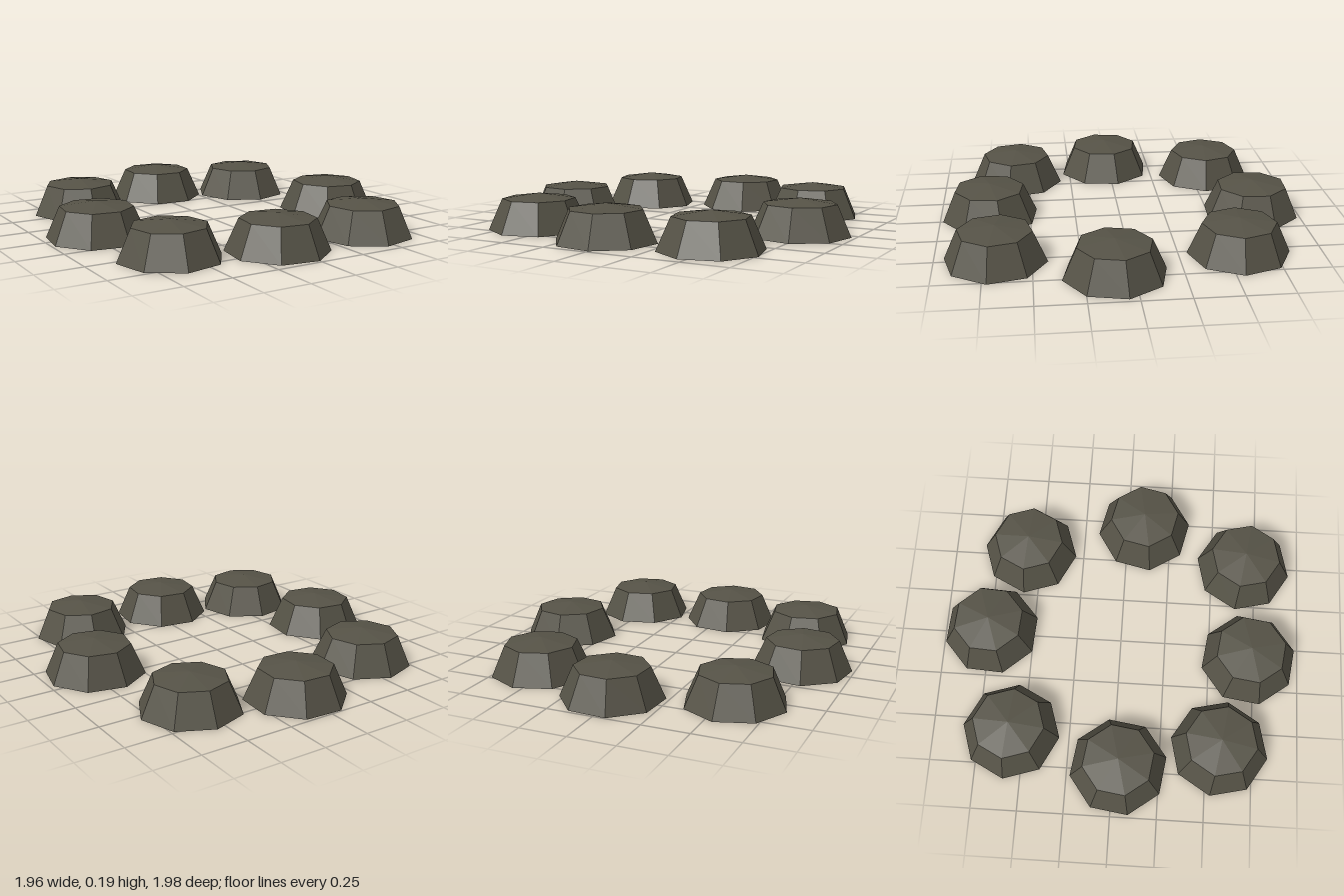
import * as THREE from 'three';

// x, z, turn in degrees of each stone, clockwise from the back
const STONES = [
  [0.024, -0.741, 26],
  [0.532, -0.563, 4],
  [0.714, 0.095, 35.3],
  [0.5, 0.684, 9],
  [-0.066, 0.724, 30.7],
  [-0.59, 0.574, 9.5],
  [-0.725, 0.029, 30.8],
  [-0.563, -0.571, 4.6],
];

export function createModel() {
  const group = new THREE.Group();
  group.name = 'stoneRing';

  const material = new THREE.MeshStandardMaterial({ color: 0x555246, flatShading: true });

  // Eight-sided stone: flat base, sloping sides and a shallow peaked top
  const profile = [[0, 0], [0.268, 0], [0.194, 0.167], [0, 0.195]]
    .map(([r, y]) => new THREE.Vector2(r, y));
  const geometry = new THREE.LatheGeometry(profile, 8);

  STONES.forEach(([x, z, turn], i) => {
    const stone = new THREE.Mesh(geometry, material);
    stone.name = `stone${i + 1}`;
    stone.position.set(x, 0, z);
    stone.rotation.y = -THREE.MathUtils.degToRad(turn);
    group.add(stone);
  });

  return group;
}
